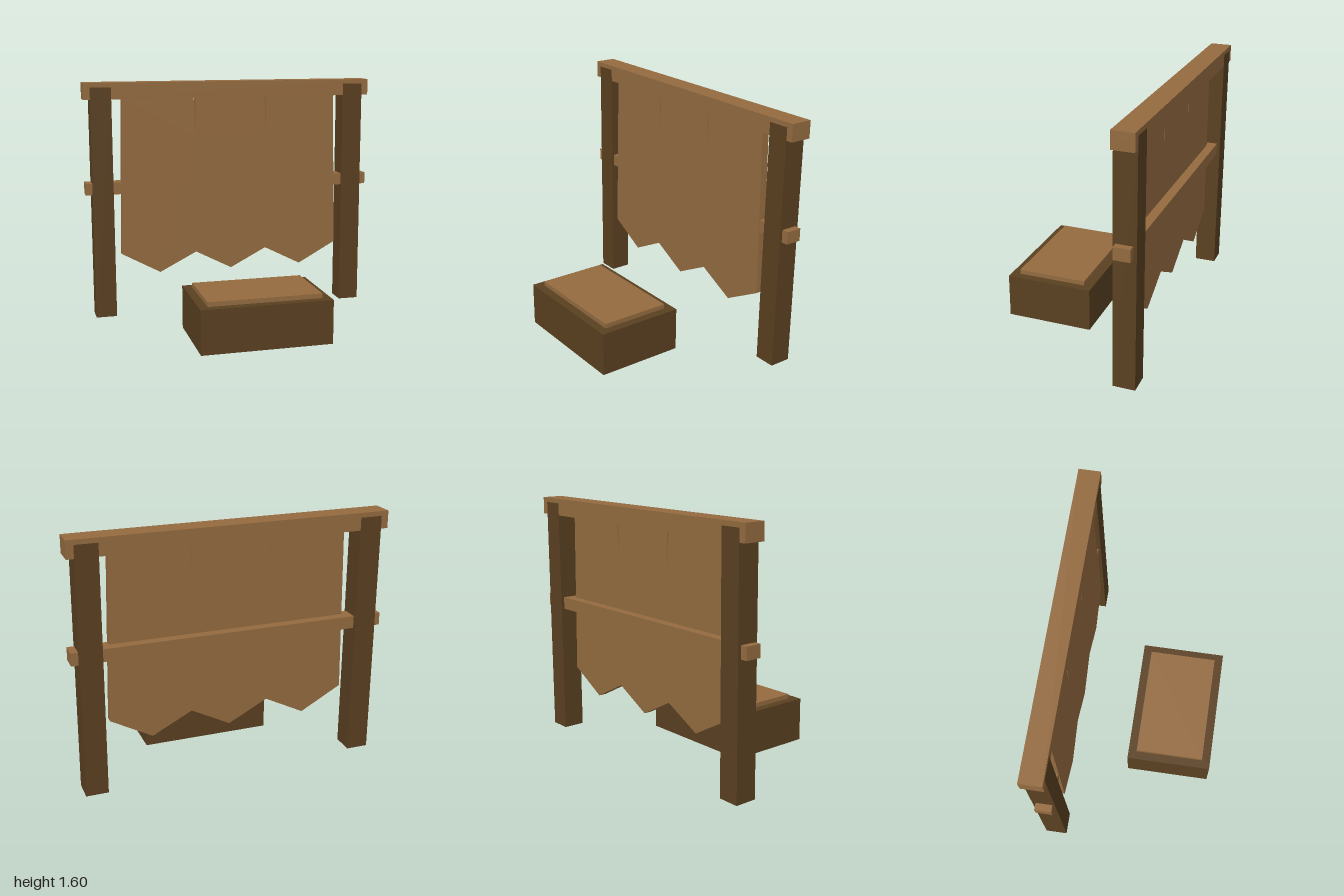
import * as THREE from 'three';

const lightWood = new THREE.MeshStandardMaterial({ color: 0x946b40 });
lightWood.name = 'light wood';
const darkWood = new THREE.MeshStandardMaterial({ color: 0x5a4021 });
darkWood.name = 'dark wood';

// Box given by its lower and upper corners
function box(name, material, [x0, y0, z0], [x1, y1, z1]) {
  const mesh = new THREE.Mesh(new THREE.BoxGeometry(x1 - x0, y1 - y0, z1 - z0), material);
  mesh.position.set((x0 + x1) / 2, (y0 + y1) / 2, (z0 + z1) / 2);
  mesh.name = name;
  return mesh;
}

// Hanging sheet with a zigzag hem and two narrow tapered slits at the top
function hangingSheet() {
  const half = [
    [0, 0.29], [0.25, 0.42], [0.505, 0.29], [0.77, 0.435],
    [0.745, 1.5], [0.257, 1.5], [0.25, 1.23], [0.243, 1.5],
  ];
  const mirrored = half.slice(1).reverse().map(([x, y]) => [-x, y]);
  const shape = new THREE.Shape([...half, ...mirrored].map(([x, y]) => new THREE.Vector2(x, y)));
  const geometry = new THREE.ExtrudeGeometry(shape, { depth: 0.05, bevelEnabled: false });
  const mesh = new THREE.Mesh(geometry, lightWood);
  mesh.position.z = -0.455;
  mesh.name = 'hangingSheet';
  return mesh;
}

export function createModel() {
  const group = new THREE.Group();
  group.name = 'screenAndChest';

  // Frame: two posts, top beam and cross rail; posts stand just proud of the beam
  for (const [side, x] of [['left', 0.885], ['right', -0.885]]) {
    group.add(box(side + 'Post', darkWood, [x - 0.07, 0, -0.536], [x + 0.07, 1.57, -0.394]));
  }
  group.add(box('topBeam', lightWood, [-1, 1.49, -0.535], [1, 1.6, -0.395]));
  group.add(box('crossRail', lightWood, [-1, 0.85, -0.515], [1, 0.93, -0.41]));
  group.add(hangingSheet());

  // Low chest with a raised lid panel
  group.add(box('chest', darkWood, [-0.425, 0, -0.035], [0.425, 0.287, 0.535]));
  group.add(box('lidPanel', lightWood, [-0.37, 0.287, 0.022], [0.37, 0.317, 0.478]));
  return group;
}
